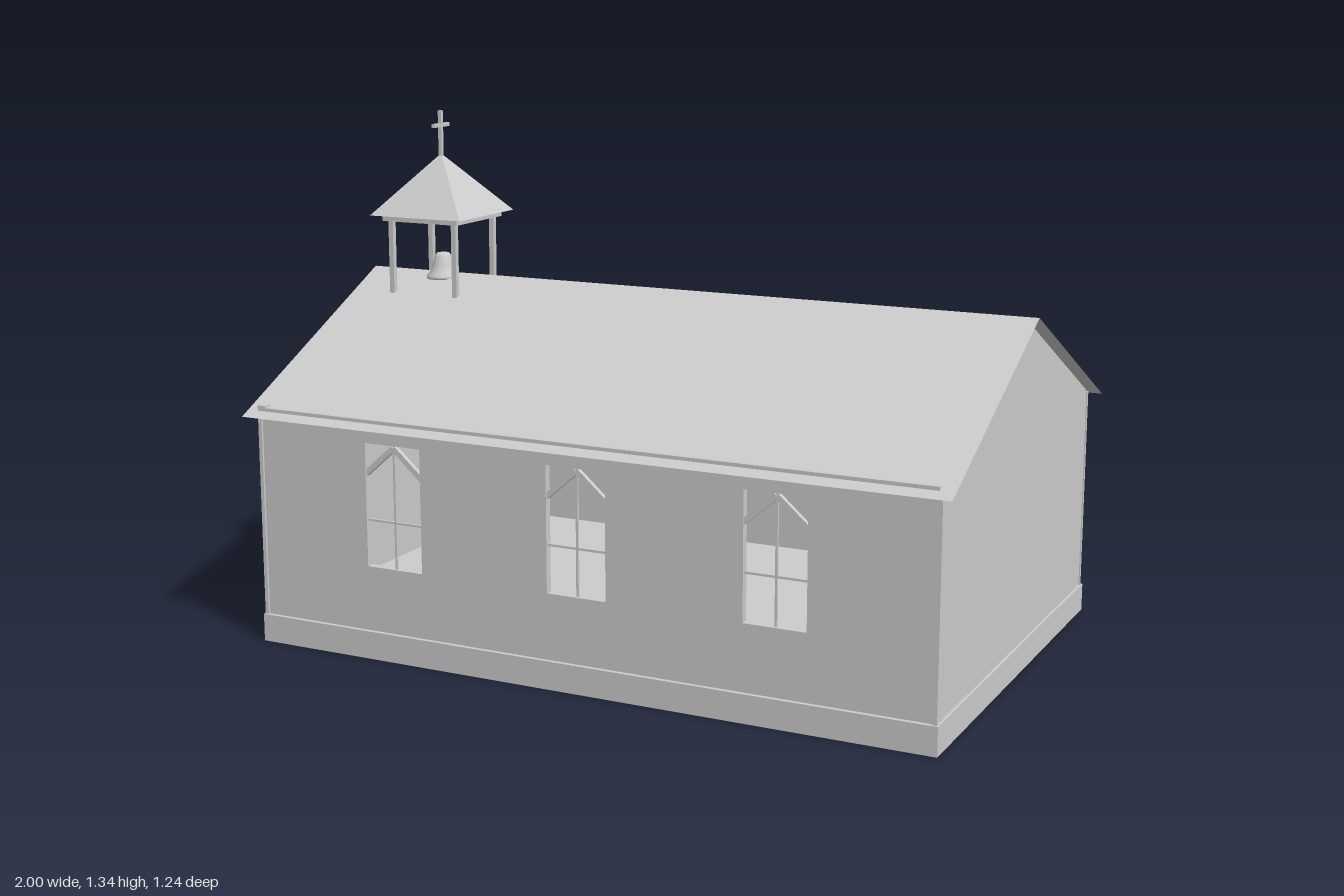
import * as THREE from 'three';

const stone = new THREE.MeshStandardMaterial({ color: 0xcccccc, side: THREE.DoubleSide });
stone.name = 'pale grey';

function add(parent, name, geometry, x = 0, y = 0, z = 0) {
  const mesh = new THREE.Mesh(geometry, stone);
  mesh.name = name;
  mesh.position.set(x, y, z);
  parent.add(mesh);
  return mesh;
}

// Box given by its lower and upper limits on each axis
function block(parent, name, [x0, x1], [y0, y1], [z0, z1]) {
  return add(parent, name, new THREE.BoxGeometry(x1 - x0, y1 - y0, z1 - z0),
    (x0 + x1) / 2, (y0 + y1) / 2, (z0 + z1) / 2);
}

function group(parent, name) {
  const g = new THREE.Group();
  g.name = name;
  parent.add(g);
  return g;
}

// Straight bar between two points in the XY plane
function bar(parent, name, [x0, y0], [x1, y1], width, depth) {
  const mesh = add(parent, name, new THREE.BoxGeometry(Math.hypot(x1 - x0, y1 - y0), width, depth),
    (x0 + x1) / 2, (y0 + y1) / 2, 0);
  mesh.rotation.z = Math.atan2(y1 - y0, x1 - x0);
  return mesh;
}

// Wall panel with rectangular openings [centre, bottom, width, height]
function wallGeometry(points, openings, depth) {
  const shape = new THREE.Shape(points.map(([x, y]) => new THREE.Vector2(x, y)));
  for (const [c, y, w, h] of openings) {
    shape.holes.push(new THREE.Path([
      new THREE.Vector2(c - w / 2, y), new THREE.Vector2(c - w / 2, y + h),
      new THREE.Vector2(c + w / 2, y + h), new THREE.Vector2(c + w / 2, y)]));
  }
  return new THREE.ExtrudeGeometry(shape, { depth, bevelEnabled: false });
}

// Open window with glazing bars and a pointed head
function windowBars(parent, [c, y, w, h], width) {
  const g = group(parent, 'window');
  const l = c - w / 2, r = c + w / 2, top = y + h, spring = top - w * 0.48;
  bar(g, 'mullion', [c, y], [c, top], width * 0.4, 0.006);
  bar(g, 'glazingBar', [l, y + h * 0.375], [r, y + h * 0.375], width * 0.4, 0.006);
  for (const s of [l, r]) {
    bar(g, 'pointedHead', [s, spring], [c, top - width / 2], width, 0.012);
    bar(g, 'jamb', [s, y], [s, top], width * 0.4, 0.02);
  }
  return g;
}

// Thin gabled roof with the ridge along x
function gableRoof(parent, name, [x0, x1], ridge, eave, half) {
  const g = group(parent, name);
  for (const s of [1, -1]) {
    const a = [x0, ridge, 0], b = [x0, eave, s * half], c = [x1, eave, s * half], d = [x1, ridge, 0];
    const quad = s > 0 ? [a, b, c, a, c, d] : [a, c, b, a, d, c];
    const geo = new THREE.BufferGeometry();
    geo.setAttribute('position', new THREE.Float32BufferAttribute(quad.flat(), 3));
    geo.computeVertexNormals();
    add(g, 'roofSlope', geo);
  }
  return g;
}

export function createModel() {
  const model = new THREE.Group();
  model.name = 'chapel';

  // Base and floor
  block(model, 'plinth', [-0.86, 0.972], [0, 0.072], [-0.597, 0.597]);

  // Long walls with three windows each
  const sideWindows = [-0.459, 0.055, 0.571].map((x) => [x, 0.24, 0.165, 0.318]);
  const sideGeo = wallGeometry([[-0.853, 0.07], [0.965, 0.07], [0.965, 0.607], [-0.853, 0.607]], sideWindows, 0.02);
  for (const s of [1, -1]) {
    add(model, 'sideWall', sideGeo, 0, 0, s > 0 ? 0.566 : -0.586);
    for (const win of sideWindows) windowBars(model, win, 0.014).position.z = s * 0.576;
    // Gutter with a small outlet at the entrance end
    const span = (a, b) => (s > 0 ? [a, b] : [-b, -a]);
    block(model, 'gutter', [-0.85, 0.96], [0.602, 0.619], span(0.578, 0.593));
    block(model, 'gutterOutlet', [-0.857, -0.835], [0.607, 0.624], span(0.568, 0.593));
    // Corner boards
    for (const x of [[-0.858, -0.848], [0.958, 0.968]]) block(model, 'cornerBoard', x, [0.07, 0.607], span(0.583, 0.592));
  }

  // Gable walls, the entrance one with two narrow windows
  const gable = [[-0.585, 0.07], [0.585, 0.07], [0.585, 0.61], [0, 0.896], [-0.585, 0.61]];
  const endWindows = [-0.38, 0.38].map((z) => [z, 0.39, 0.08, 0.21]);
  for (const [name, x, openings] of [['rearGable', 0.965, []], ['entranceGable', -0.833, endWindows]]) {
    const end = group(model, name);
    end.rotation.y = -Math.PI / 2;
    end.position.x = x;
    add(end, 'gableWall', wallGeometry(gable, openings, 0.02));
    for (const win of openings) windowBars(end, win, 0.01).position.z = 0.012;
  }

  gableRoof(model, 'mainRoof', [-0.887, 0.998], 0.9, 0.597, 0.62);

  // Double door with raised rails
  const door = group(model, 'doubleDoor');
  block(door, 'doorPanel', [-0.858, -0.85], [0.072, 0.45], [-0.145, 0.145]);
  for (const z of [-0.14, -0.075, -0.008, 0.008, 0.075, 0.14]) {
    block(door, 'doorStile', [-0.866, -0.856], [0.072, 0.45], [z - 0.007, z + 0.007]);
  }
  for (const y of [0.08, 0.172, 0.264, 0.356, 0.445]) {
    block(door, 'doorRail', [-0.865, -0.856], [y - 0.007, y + 0.007], [-0.145, 0.145]);
  }

  // Porch
  const porch = group(model, 'porch');
  gableRoof(porch, 'porchRoof', [-1, -0.853], 0.605, 0.505, 0.22);
  block(porch, 'porchFloor', [-0.967, -0.85], [0.062, 0.074], [-0.187, 0.187]);
  for (const z of [-0.18, 0.18]) {
    block(porch, 'porchPost', [-0.965, -0.953], [0.07, 0.522], [z - 0.006, z + 0.006]);
  }

  // Bell turret
  const turret = group(model, 'bellTurret');
  turret.position.x = -0.667;
  for (const x of [-0.098, 0.098]) {
    for (const z of [-0.098, 0.098]) {
      block(turret, 'turretPost', [x - 0.007, x + 0.007], [0.845, 1.05], [z - 0.007, z + 0.007]);
    }
  }
  for (const s of [-1, 1]) {
    block(turret, 'turretBeam', [-0.116, 0.116], [1.044, 1.06], [s * 0.107 - 0.009, s * 0.107 + 0.009]);
    block(turret, 'turretBeam', [s * 0.107 - 0.009, s * 0.107 + 0.009], [1.044, 1.06], [-0.098, 0.098]);
  }
  const spire = new THREE.ConeGeometry(0.14 * Math.SQRT2, 0.16, 4, 1).rotateY(Math.PI / 4).toNonIndexed();
  spire.computeVertexNormals();
  add(turret, 'turretRoof', spire, 0, 1.14, 0);

  // Cross
  block(turret, 'crossUpright', [-0.005, 0.005], [1.21, 1.335], [-0.005, 0.005]);
  block(turret, 'crossArm', [-0.005, 0.005], [1.291, 1.301], [-0.037, 0.037]);

  // Bell
  const profile = [[0.036, 0.884], [0.046, 0.882], [0.046, 0.89], [0.036, 0.9], [0.028, 0.922], [0.023, 0.943], [0.016, 0.951], [0, 0.953]]
    .map(([r, y]) => new THREE.Vector2(r, y));
  add(turret, 'bell', new THREE.LatheGeometry(profile, 24));

  return model;
}
